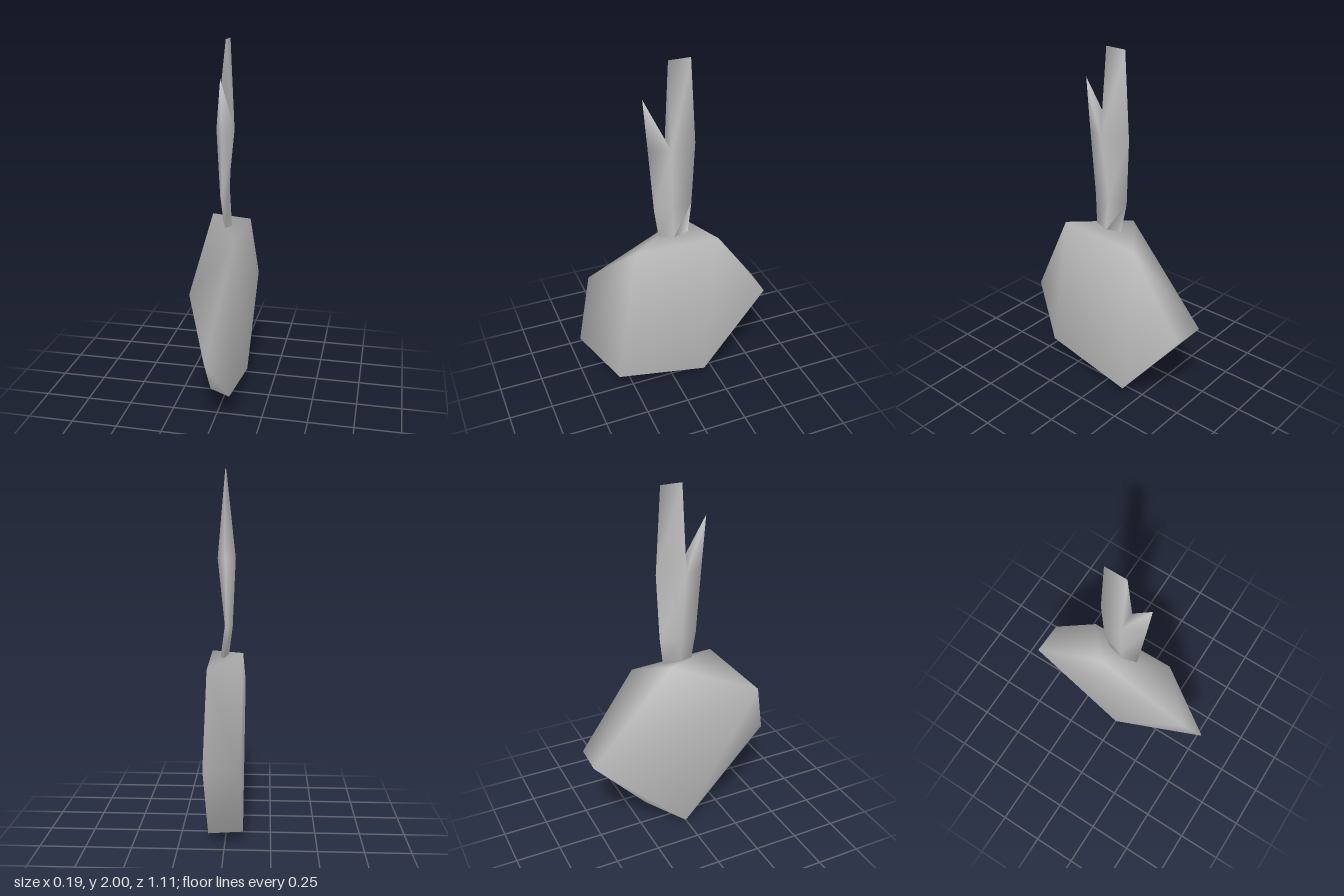
import * as THREE from 'three';
import { ConvexGeometry } from 'three/addons/geometries/ConvexGeometry.js';
import { mergeVertices } from 'three/addons/utils/BufferGeometryUtils.js';

const grey = new THREE.MeshStandardMaterial({ color: 0xc4c4c4 });
grey.name = 'pale grey';

// Flat, roughly cut bulb: corners of the two broad sides plus a front point, smoothly shaded
function makeBulb() {
  const leftSide = [[1.0, 0.24], [0.98, -0.24], [0.54, -0.547], [0.06, -0.175], [0.17, 0.36]];
  const rightSide = [[1.045, -0.09], [0.78, 0.457], [0, 0], [0.54, -0.553]];
  const corners = [
    ...leftSide.map(([y, z]) => new THREE.Vector3(0.09, y, z)),
    ...rightSide.map(([y, z]) => new THREE.Vector3(-0.095, y, z)),
    new THREE.Vector3(0, 0.45, 0.553),
  ];
  const geometry = new ConvexGeometry(corners);
  geometry.deleteAttribute('normal');
  const smooth = mergeVertices(geometry, 1e-4);
  smooth.computeVertexNormals();
  return smooth;
}

// Diamond-section stalk that splits into a short front leaf and a tall back leaf
function makeStalk() {
  // each ring: front, left, back, right corner
  const rings = [
    [[0.01, 1.015, 0.08], [0.03, 1.005, 0], [0.01, 1.015, -0.09], [-0.015, 1.02, 0]],
    [[-0.005, 1.18, 0.1], [0.008, 1.18, 0], [-0.005, 1.18, -0.115], [-0.035, 1.17, 0]],
    [[0, 1.54, 0.131], [0.047, 1.54, 0.02], [0, 1.54, -0.13], [-0.05, 1.54, 0.02]],
  ];
  const tips = [[0, 1.82, 0.155], [0, 2, 0.02], [0, 2, -0.1]];
  const index = [0, 2, 1, 0, 3, 2];
  for (let r = 0; r < 2; r++) {
    for (let i = 0; i < 4; i++) {
      const a = r * 4 + i, b = r * 4 + (i + 1) % 4;
      index.push(a, b, b + 4, a, b + 4, a + 4);
    }
  }
  const [front, left, back, right, frontTip, tallFront, tallBack] = [8, 9, 10, 11, 12, 13, 14];
  // short front leaf
  index.push(front, left, frontTip, right, front, frontTip, left, right, frontTip);
  // tall back leaf
  index.push(left, back, tallBack, left, tallBack, tallFront);
  index.push(back, right, tallFront, back, tallFront, tallBack);
  index.push(right, left, tallFront);

  const geometry = new THREE.BufferGeometry();
  const points = [...rings.flat(), ...tips].flat();
  geometry.setAttribute('position', new THREE.Float32BufferAttribute(points, 3));
  geometry.setIndex(index);
  geometry.computeVertexNormals();
  return geometry;
}

export function createModel() {
  const model = new THREE.Group();
  model.name = 'bulbWithStalk';
  for (const [name, geometry] of [['bulb', makeBulb()], ['stalk', makeStalk()]]) {
    const mesh = new THREE.Mesh(geometry, grey);
    mesh.name = name;
    model.add(mesh);
  }
  return model;
}
